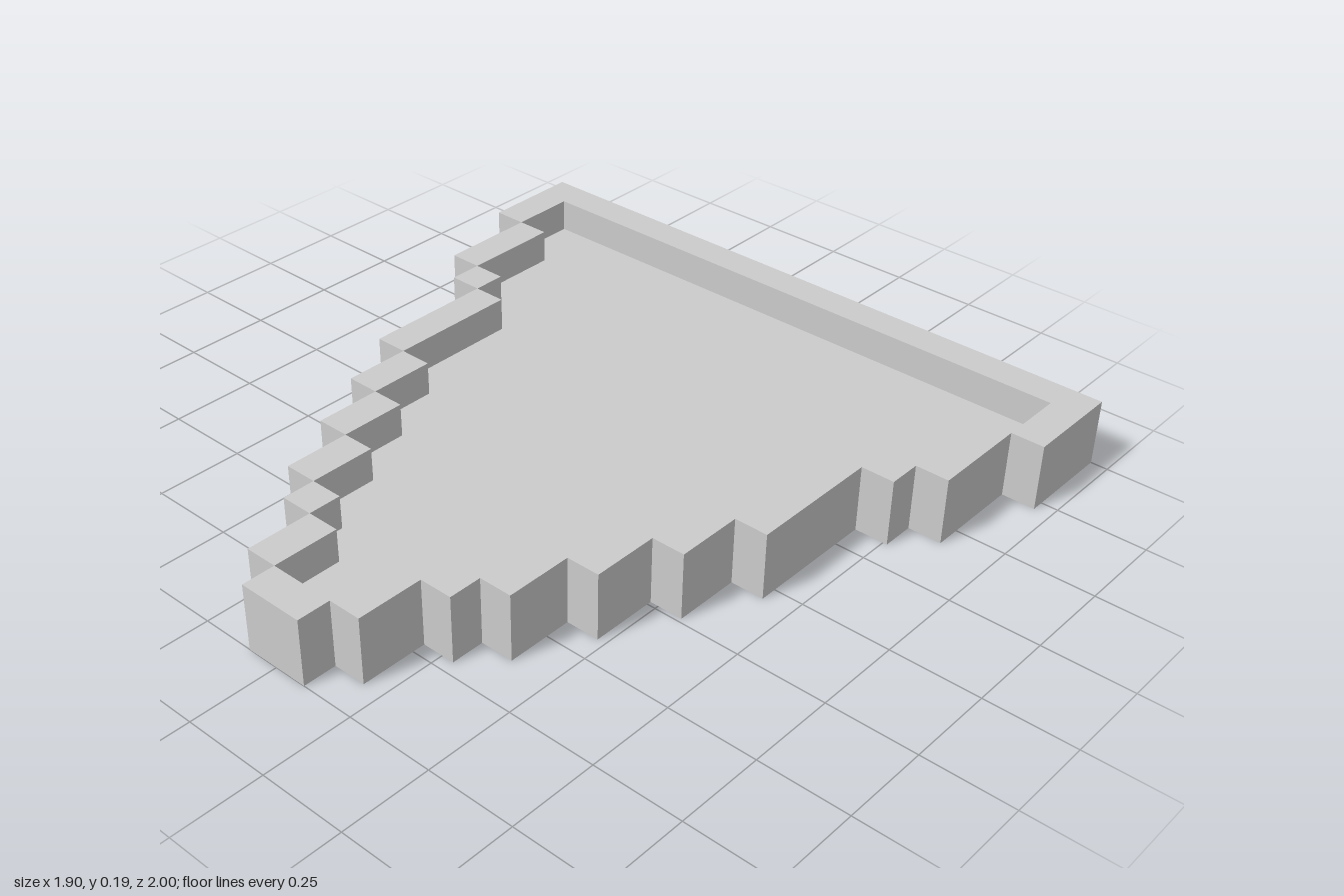
import * as THREE from 'three';

const U = 2 / 21; // one step of the stair-stepped outline

// rows from back to front: [half width, z end], in steps
const ROWS = [[10, -7.5], [9, -4.5], [8, -3.5], [7, 0.5], [6, 2.5],
  [5, 4.5], [4, 6.5], [3, 7.5], [2, 9.5], [1, 10.5]];
const BACK = -10.5;

export function createModel() {
  const group = new THREE.Group();
  group.name = 'steppedTray';
  const material = new THREE.MeshStandardMaterial({ color: 0xcccccc, flatShading: true });

  const add = (name, geometry) => {
    const mesh = new THREE.Mesh(geometry, material);
    mesh.name = name;
    group.add(mesh);
    return mesh;
  };

  // floor plate: stepped triangle, one step thick
  const right = [];
  let z = BACK;
  for (const [half, end] of ROWS) {
    right.push([half, z], [half, end]);
    z = end;
  }
  const left = right.map(([x, pz]) => [-x, pz]).reverse();
  const outline = [...right, ...left].map(([x, pz]) => new THREE.Vector2(x * U, -pz * U));
  const floor = new THREE.ExtrudeGeometry(new THREE.Shape(outline), { depth: U, bevelEnabled: false });
  floor.rotateX(-Math.PI / 2);
  add('floor', floor);

  // rim wall standing on the floor, one step wide and high
  const wall = (name, x0, x1, z0, z1) => {
    const mesh = add(name, new THREE.BoxGeometry((x1 - x0) * U, U, (z1 - z0) * U));
    mesh.position.set((x0 + x1) / 2 * U, 1.5 * U, (z0 + z1) / 2 * U);
  };
  wall('backWall', -10, 10, BACK, BACK + 1);
  z = BACK + 1;
  ROWS.slice(0, -1).forEach(([half, end], i) => {
    wall(`leftWall${i + 1}`, half - 1, half, z, end);
    wall(`rightWall${i + 1}`, -half, 1 - half, z, end);
    z = end;
  });
  wall('frontWall', -1, 1, 9.5, 10.5);

  return group;
}
